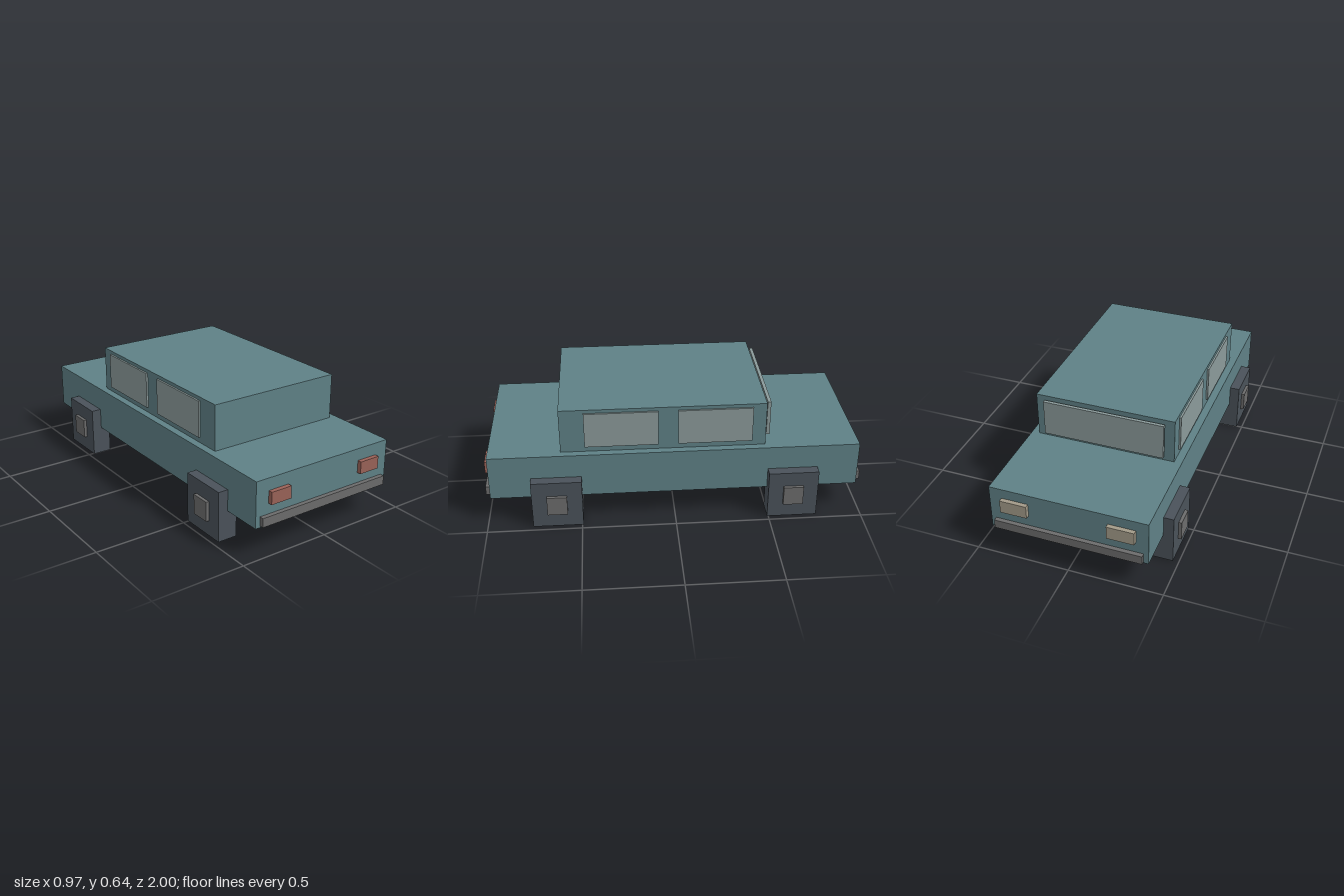
import * as THREE from 'three';

const paint = (color) => new THREE.MeshStandardMaterial({ color, flatShading: true });

export function createModel() {
  const car = new THREE.Group();
  car.name = 'car';

  const teal = paint(0x5f8186);
  const rubber = paint(0x4a525a);
  const metal = paint(0x6c6c6c);
  const glass = paint(0x8b9a9a);
  const red = paint(0x9a6258);
  const cream = paint(0xa39b89);

  // Box given by its extents along each axis
  function box(name, material, [x0, x1], [y0, y1], [z0, z1], parent = car) {
    const mesh = new THREE.Mesh(new THREE.BoxGeometry(x1 - x0, y1 - y0, z1 - z0), material);
    mesh.position.set((x0 + x1) / 2, (y0 + y1) / 2, (z0 + z1) / 2);
    mesh.name = name;
    parent.add(mesh);
    return mesh;
  }
  // Extent from a to b, flipped to the given side
  const span = (side, a, b) => (side > 0 ? [a, b] : [-b, -a]);

  // Body and cabin
  box('body', teal, [-0.415, 0.415], [0.155, 0.4], [-0.977, 0.977]);
  box('cabin', teal, [-0.375, 0.375], [0.4, 0.644], [-0.478, 0.597]);

  // Windscreen, standing just clear of the cabin
  box('windscreen', glass, [-0.325, 0.325], [0.43, 0.625], [-0.508, -0.49]);

  // Bumpers at both ends
  box('headlightBumper', metal, [-0.39, 0.39], [0.165, 0.213], [-1, -0.975]);
  box('tailLightBumper', metal, [-0.39, 0.39], [0.165, 0.213], [0.975, 1]);

  for (const side of [1, -1]) {
    const label = side > 0 ? 'left' : 'right';

    // Lamps
    box(label + 'TailLight', red, span(side, 0.223, 0.341), [0.269, 0.335], [0.975, 1]);
    box(label + 'Headlight', cream, span(side, 0.208, 0.35), [0.275, 0.346], [-1, -0.975]);

    // Side windows
    [[0.085, 0.47], [-0.407, -0.018]].forEach((z, i) =>
      box(label + 'SideWindow' + (i + 1), glass, span(side, 0.367, 0.385), [0.43, 0.625], z));

    // Square wheels with hubs
    for (const end of [1, -1]) {
      const wheel = new THREE.Group();
      wheel.name = label + (end > 0 ? 'TailEnd' : 'HeadlightEnd') + 'Wheel';
      wheel.position.set(0, 0.135, end * 0.626);
      box('tyre', rubber, span(side, 0.362, 0.469), [-0.135, 0.135], [-0.133, 0.133], wheel);
      box('hub', metal, span(side, 0.45, 0.486), [-0.053, 0.054], [-0.053, 0.053], wheel);
      car.add(wheel);
    }
  }
  return car;
}
